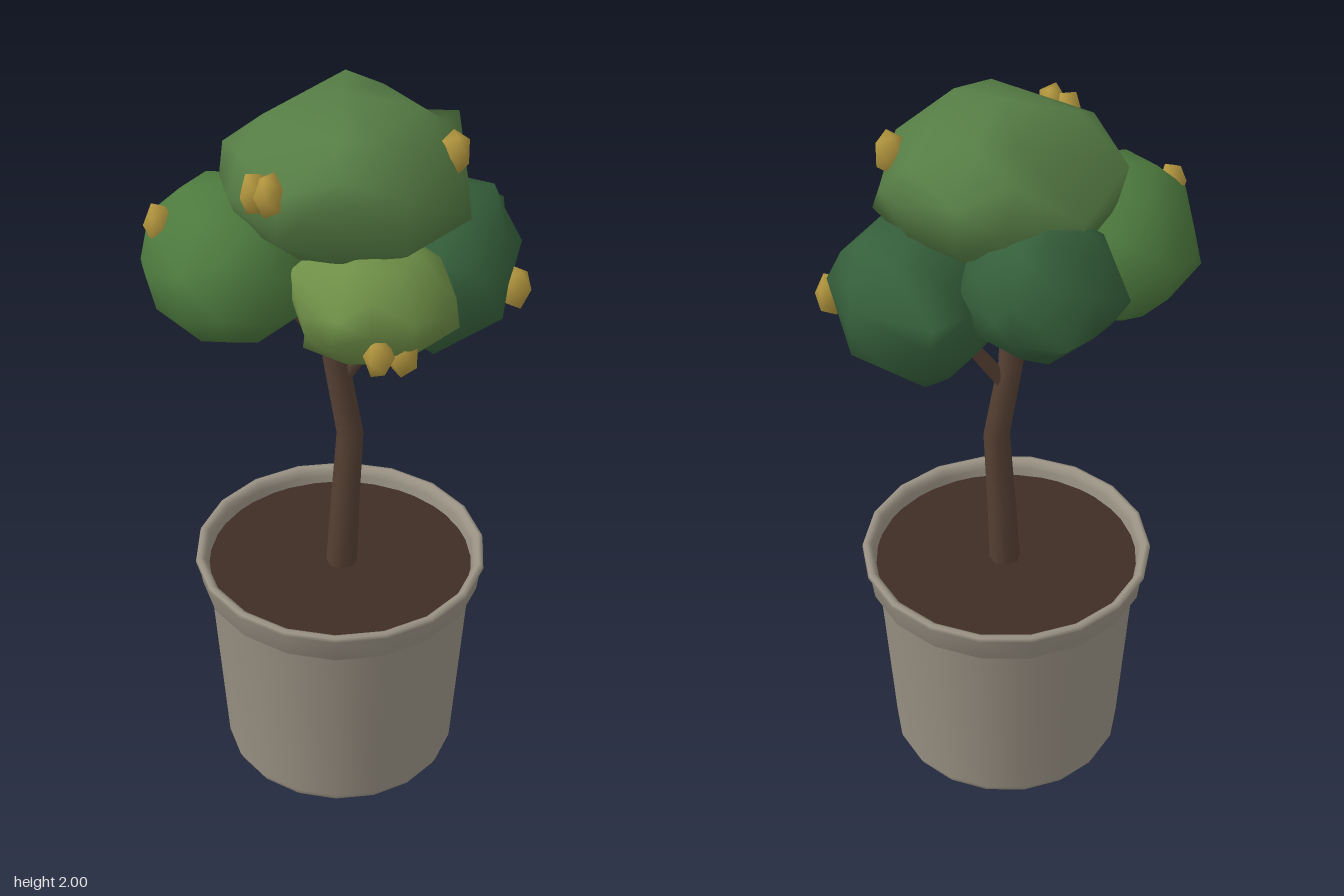
import * as THREE from 'three';
import { mergeVertices } from 'three/addons/utils/BufferGeometryUtils.js';

const CX = 0.015, CZ = 0.012; // pot and trunk axis

const mat = (color, side = THREE.FrontSide) => new THREE.MeshStandardMaterial({ color, side });

function add(parent, name, geometry, material) {
  const mesh = new THREE.Mesh(geometry, material);
  mesh.name = name;
  parent.add(mesh);
  return mesh;
}

// Low-poly leaf clump: icosphere with its own upper and lower height,
// whose nearest vertices are pulled out to the given corner points
function clumpGeometry(center, [rx, up, down, rz], corners) {
  let g = new THREE.IcosahedronGeometry(1, 1);
  g.deleteAttribute('normal');
  g.deleteAttribute('uv');
  g = mergeVertices(g, 1e-3);
  const p = g.attributes.position;
  const free = new Set();
  const scaleY = (y) => (y > 0 ? up : down);
  const dirs = [];
  for (let i = 0; i < p.count; i++) {
    const d = new THREE.Vector3().fromBufferAttribute(p, i);
    dirs.push(d);
    free.add(i);
    p.setXYZ(i, d.x * rx, d.y * scaleY(d.y), d.z * rz);
  }
  for (const corner of corners) {
    const [x, y, z] = corner.map((c, k) => c - center[k]);
    const d = new THREE.Vector3(x / rx, y / scaleY(y), z / rz).normalize();
    const best = [...free].reduce((a, b) => (dirs[b].dot(d) > dirs[a].dot(d) ? b : a));
    free.delete(best);
    p.setXYZ(best, x, y, z);
  }
  g.computeVertexNormals();
  return g;
}

// Tapered limb: rings of vertices skinned along a list of [x, y, z, radius]
function limbGeometry(nodes, sides = 8) {
  const pos = [], idx = [];
  nodes.forEach(([x, y, z, r], j) => {
    const a = nodes[Math.max(j - 1, 0)], b = nodes[Math.min(j + 1, nodes.length - 1)];
    const dir = new THREE.Vector3(b[0] - a[0], b[1] - a[1], b[2] - a[2]).normalize();
    const q = new THREE.Quaternion().setFromUnitVectors(new THREE.Vector3(0, 1, 0), dir);
    for (let i = 0; i < sides; i++) {
      const t = (i / sides) * Math.PI * 2;
      const v = new THREE.Vector3(Math.sin(t) * r, 0, Math.cos(t) * r).applyQuaternion(q);
      pos.push(x + v.x, y + v.y, z + v.z);
      if (j === 0) continue;
      const n = (i + 1) % sides, lo = (j - 1) * sides, hi = j * sides;
      idx.push(lo + i, lo + n, hi + n, lo + i, hi + n, hi + i);
    }
  });
  const g = new THREE.BufferGeometry();
  g.setAttribute('position', new THREE.Float32BufferAttribute(pos, 3));
  g.setIndex(idx);
  g.computeVertexNormals();
  return g;
}

export function createModel() {
  const group = new THREE.Group();
  group.name = 'pottedTree';

  // Pot: open shell with a rounded, flared rim
  const profile = [
    [0.303, 0], [0.314, 0.022], [0.352, 0.54], [0.374, 0.562], [0.382, 0.62],
    [0.391, 0.632], [0.388, 0.643], [0.378, 0.645], [0.366, 0.638], [0.36, 0.62], [0.355, 0.57],
  ].map(([r, y]) => new THREE.Vector2(r, y));
  const pot = add(group, 'pot', new THREE.LatheGeometry(profile, 18), mat(0x9a9284, THREE.DoubleSide));
  pot.position.set(CX, 0, CZ);

  // Soil
  const soil = add(group, 'soil', new THREE.CircleGeometry(0.357, 18), mat(0x3e2d25, THREE.DoubleSide));
  soil.rotation.x = -Math.PI / 2;
  soil.position.set(CX, 0.6, CZ);

  // Trunk and branches
  const bark = mat(0x554033);
  const limbs = {
    trunk: [[0.018, 0.58, CZ, 0.042], [0.028, 0.8, CZ, 0.038], [0.04, 1.02, CZ, 0.035],
      [0.002, 1.25, 0.01, 0.033], [0, 1.42, 0.01, 0.028], [0.01, 1.65, 0.01, 0.02]],
    leftBranch: [[0.015, 1.18, 0.01, 0.021], [0.13, 1.35, 0, 0.018], [0.23, 1.5, -0.02, 0.014]],
    rightBranch: [[0.005, 1.25, 0.01, 0.021], [-0.09, 1.39, 0.025, 0.018], [-0.2, 1.53, 0.05, 0.013]],
  };
  for (const [name, nodes] of Object.entries(limbs)) add(group, name, limbGeometry(nodes), bark);

  // Foliage clumps: centre, radii [x, up, down, z], colour, corner points
  const foliage = new THREE.Group();
  foliage.name = 'foliage';
  group.add(foliage);
  const addClump = (name, center, radii, color, corners) =>
    add(foliage, name, clumpGeometry(center, radii, corners), mat(color)).position.set(...center);

  addClump('topClump', [0.022, 1.78, 0.028], [0.3, 0.22, 0.19, 0.285], 0x567d45, [
    [-0.275, 1.83, -0.05], [-0.135, 1.79, -0.225], [0.075, 1.8, -0.262], [0.3, 1.86, -0.175],
    [0.333, 1.7, 0.08], [0.18, 1.7, 0.265], [-0.05, 1.83, 0.32], [-0.245, 1.8, 0.18],
    [0.2, 1.96, 0], [-0.17, 1.945, 0.03], [0.02, 1.965, 0.19], [0.02, 1.972, -0.16],
  ]);
  addClump('rightClump', [-0.25, 1.56, 0.06], [0.225, 0.22, 0.195, 0.25], 0x4d7a3e, [
    [-0.48, 1.5, 0], [-0.365, 1.6, -0.175], [-0.24, 1.55, -0.195], [-0.445, 1.6, 0.21],
    [-0.26, 1.55, 0.325], [-0.37, 1.76, 0.06], [-0.38, 1.375, 0.06], [-0.21, 1.36, 0.06],
    [-0.45, 1.68, 0.08],
  ]);
  addClump('leftClump', [0.25, 1.52, -0.05], [0.21, 0.195, 0.21, 0.245], 0x355f3b, [
    [0.462, 1.58, -0.03], [0.42, 1.6, -0.215], [0.415, 1.47, 0.16], [0.24, 1.58, -0.3],
    [0.27, 1.55, 0.2], [0.39, 1.71, -0.08], [0.38, 1.345, -0.05], [0.23, 1.305, -0.04],
    [0.25, 1.705, -0.2], [0.25, 1.35, -0.2], [0.25, 1.35, 0.14],
  ]);
  addClump('frontClump', [0.1, 1.55, 0.2], [0.2, 0.155, 0.165, 0.19], 0x6f8f47, [
    [-0.1, 1.62, 0.2], [0.02, 1.6, 0.4], [0.2, 1.58, 0.375], [0.31, 1.48, 0.22],
    [0.08, 1.71, 0.25], [0.18, 1.385, 0.17], [-0.07, 1.4, 0.2],
  ]);
  addClump('backClump', [-0.035, 1.61, -0.2], [0.2, 0.19, 0.17, 0.19], 0x355f3b, [
    [-0.23, 1.62, -0.31], [-0.06, 1.56, -0.405], [0.1, 1.6, -0.32], [-0.04, 1.79, -0.29],
    [-0.04, 1.44, -0.28], [-0.235, 1.6, -0.15],
  ]);

  // Fruit
  const fruits = new THREE.Group();
  fruits.name = 'fruits';
  group.add(fruits);
  const fruitGeometry = mergeVertices(new THREE.IcosahedronGeometry(1, 0).deleteAttribute('uv')
    .deleteAttribute('normal').scale(0.038, 0.062, 0.041));
  fruitGeometry.computeVertexNormals();
  const fruitMaterial = mat(0xb5983f);
  [
    [-0.178, 1.837, 0.225], [-0.142, 1.847, 0.248], [0.288, 1.865, 0.055], [-0.42, 1.68, 0.1],
    [0.118, 1.488, 0.368], [0.175, 1.47, 0.33], [0.45, 1.487, 0.04],
  ].forEach((at, i) => {
    const fruit = add(fruits, 'fruit', fruitGeometry, fruitMaterial);
    fruit.position.set(...at);
    fruit.rotation.y = i * 0.9;
  });

  return group;
}
